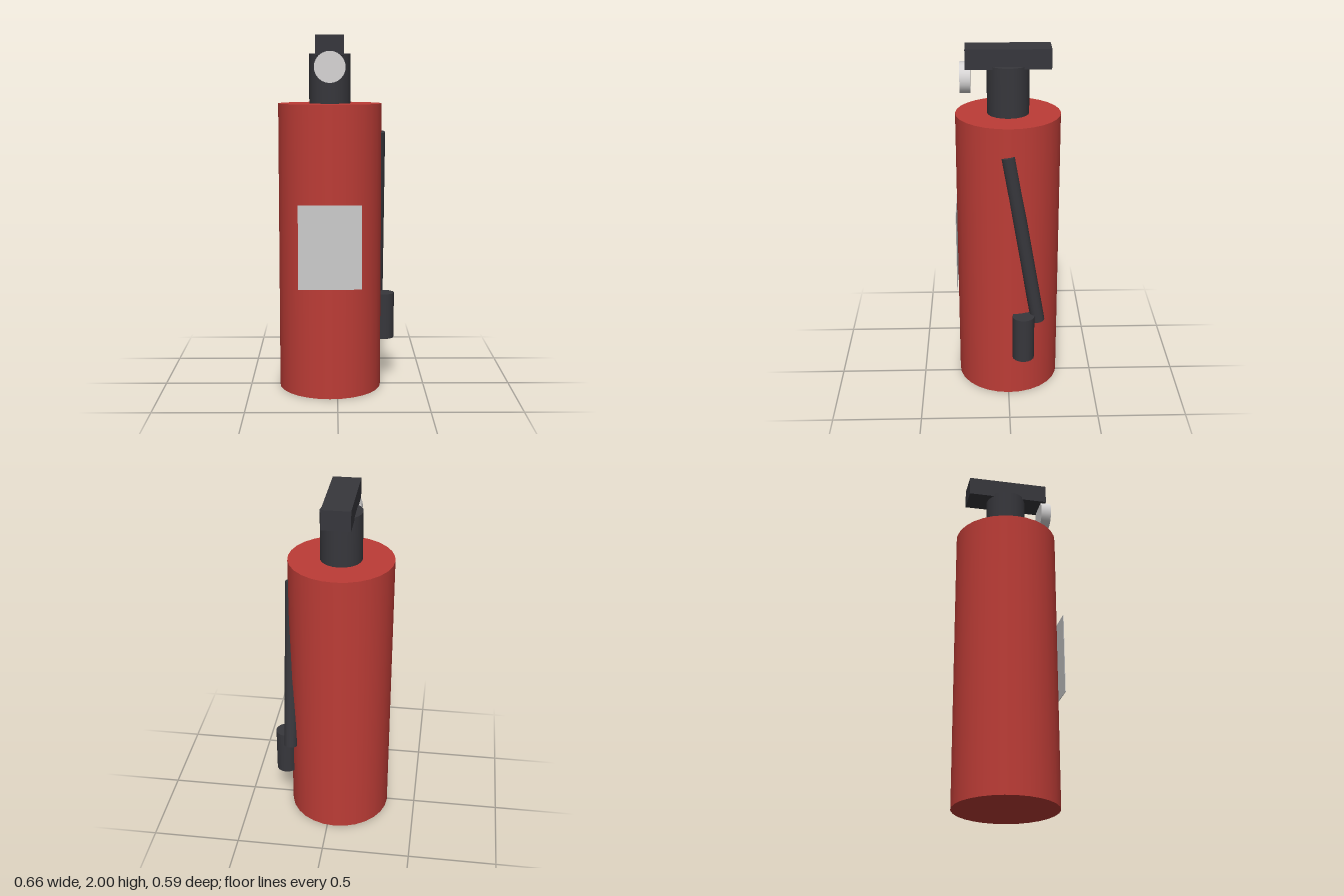
import * as THREE from 'three';

const material = (name, color) => {
  const m = new THREE.MeshStandardMaterial({ color });
  m.name = name;
  return m;
};

export function createModel() {
  const red = material('tank red', 0xbc3c36);
  const dark = material('dark grey', 0x37373c);
  const paper = material('label grey', 0xcccccc);
  const pale = material('gauge grey', 0xd6d4d4);

  const group = new THREE.Group();
  group.name = 'fireExtinguisher';
  const add = (name, geometry, mat, x, y, z) => {
    const mesh = new THREE.Mesh(geometry, mat);
    mesh.name = name;
    mesh.position.set(x, y, z);
    group.add(mesh);
    return mesh;
  };
  const cylinder = (r, h, sides) => new THREE.CylinderGeometry(r, r, h, sides);

  // Axis shared by the tank, valve, handle and gauge
  const cx = -0.042, cz = -0.004;

  // Tank and valve neck
  add('tank', cylinder(0.291, 1.63, 28), red, cx, 0.815, cz);
  add('valveNeck', cylinder(0.116, 0.28, 20), dark, cx, 1.765, cz);

  // Handle bar across the top
  add('handle', new THREE.BoxGeometry(0.155, 0.11, 0.465), dark, cx, 1.945, cz);

  // Pressure gauge facing forward under the handle
  const gauge = add('gauge', cylinder(0.085, 0.058, 24), pale, cx, 1.83, 0.229);
  gauge.rotation.x = Math.PI / 2;

  // Thin label plate on the front of the tank
  add('label', new THREE.BoxGeometry(0.348, 0.465, 0.003), paper, cx, 0.857, 0.2905);

  // Straight hose leaning backwards down the left side
  const top = new THREE.Vector3(0.231, 1.47, 0.003);
  const bottom = new THREE.Vector3(0.231, 0.479, -0.166);
  const mid = top.clone().add(bottom).multiplyScalar(0.5);
  const hose = add('hose', cylinder(0.039, top.distanceTo(bottom), 14), dark, mid.x, mid.y, mid.z);
  hose.quaternion.setFromUnitVectors(
    new THREE.Vector3(0, 1, 0), top.clone().sub(bottom).normalize());

  // Nozzle at the lower end of the hose
  add('nozzle', cylinder(0.062, 0.266, 16), dark, 0.27, 0.392, -0.083);

  return group;
}
